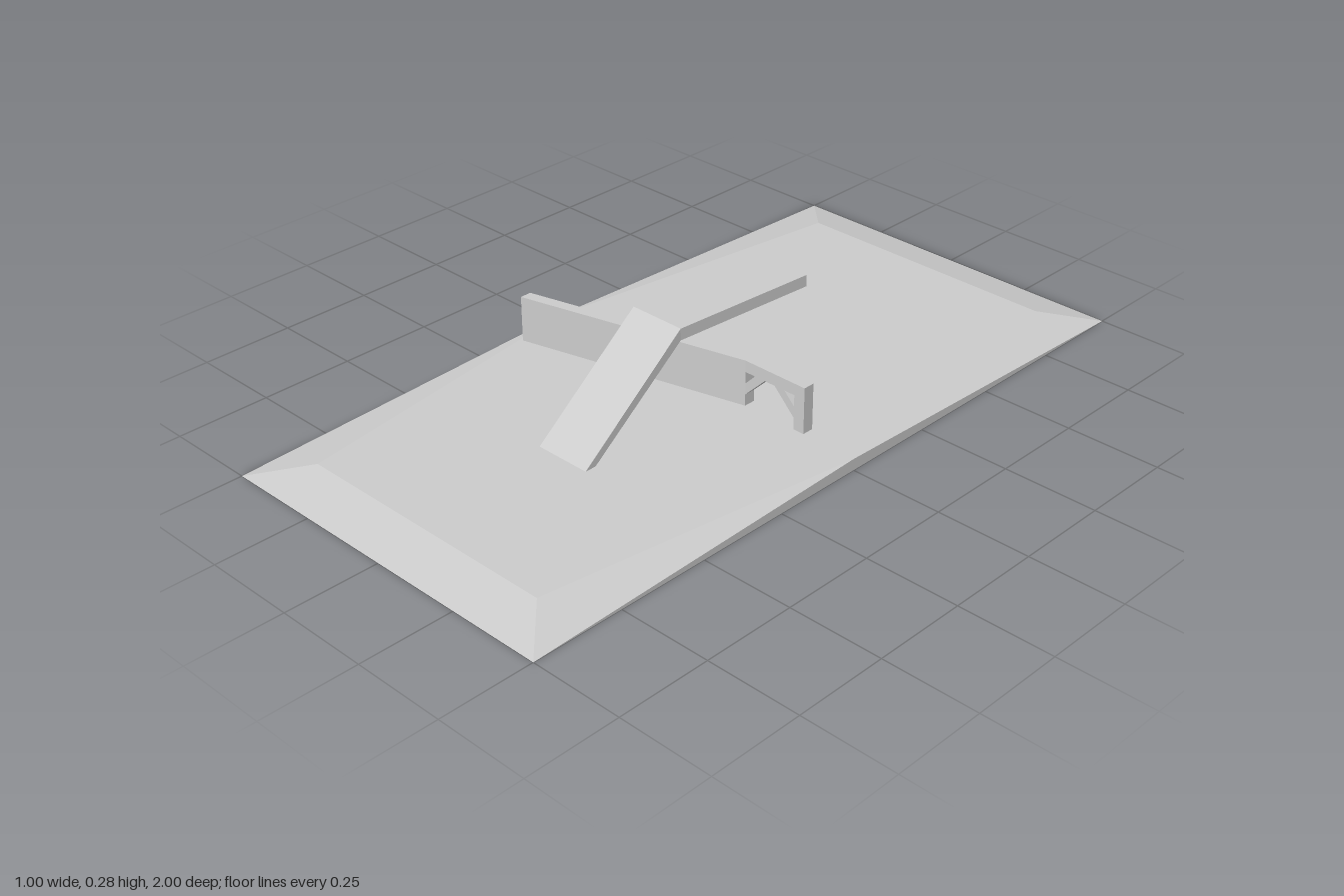
import * as THREE from 'three';

const U = 1 / 32; // design grid
const material = new THREE.MeshStandardMaterial({ color: 0xcccccc, flatShading: true });

const vectors = (points) => points.map(([x, y]) => new THREE.Vector2(x * U, y * U));

function extrude(outline, depth, holes = []) {
  const shape = new THREE.Shape(vectors(outline));
  for (const hole of holes) shape.holes.push(new THREE.Path(vectors(hole)));
  return new THREE.ExtrudeGeometry(shape, { depth: depth * U, bevelEnabled: false });
}

// Move every vertex by a rule
function deform(geometry, rule) {
  const p = geometry.attributes.position;
  const v = new THREE.Vector3();
  for (let i = 0; i < p.count; i++) {
    rule(v.fromBufferAttribute(p, i));
    p.setXYZ(i, v.x, v.y, v.z);
  }
  geometry.computeVertexNormals();
  return geometry;
}

// Ground slab: bevelled ends, sides that flare to full width at mid-length
function groundGeometry() {
  const bottom = [[-16, 32], [16, 32], [16, -32], [-16, -32]];
  const top = [[-12, 28], [12, 28], [16, 0], [12, -28], [-12, -28], [-16, 0]];
  const position = [
    ...bottom.flatMap(([x, z]) => [x * U, 0, z * U]),
    ...top.flatMap(([x, z]) => [x * U, U, z * U]),
  ];
  const index = [
    0, 2, 1, 0, 3, 2, // underside
    4, 5, 6, 4, 6, 9, 9, 6, 7, 9, 7, 8, // top
    0, 1, 5, 0, 5, 4, // front bevel
    2, 3, 8, 2, 8, 7, // back bevel
    1, 6, 5, 1, 2, 6, 2, 7, 6, // left side
    0, 4, 9, 0, 9, 3, 3, 9, 8, // right side
  ];
  const geometry = new THREE.BufferGeometry();
  geometry.setAttribute('position', new THREE.Float32BufferAttribute(position, 3));
  geometry.setIndex(index);
  const flat = geometry.toNonIndexed();
  flat.computeVertexNormals();
  return flat;
}

export function createModel() {
  const group = new THREE.Group();
  const add = (name, geometry) => {
    const mesh = new THREE.Mesh(geometry, material);
    mesh.name = name;
    group.add(mesh);
  };

  add('ground', groundGeometry());

  // Ramp and raised deck: side profile swept across, deck skewed sideways
  const ramp = extrude([[-15, 1], [-14, 1], [-5, 8], [8, 8], [8, 9], [-5, 9]], 5);
  ramp.rotateY(Math.PI / 2).translate(-2 * U, 0, 0);
  add('rampAndDeck', deform(ramp, (v) => {
    v.x += Math.max(0, 5 * U - v.z) / 13;
  }));

  // Long wall, skewed forward towards its far end
  const wall = extrude([[-15, 1], [5, 1], [5, 5], [-15, 5]], 1).translate(0, 0, -U);
  add('wall', deform(wall, (v) => {
    v.z += (5 * U - v.x) / 4;
  }));

  // Braced archway: lintel, post and two diagonal braces
  const arch = extrude(
    [[5, 5], [5, 2], [7, 4], [8, 4], [10, 2], [10, 1], [11, 1], [11, 5]],
    1,
    [
      [[5.02, 3], [6, 4], [5.02, 4]],
      [[9, 4], [10, 3], [10, 4]],
    ],
  ).translate(0, 0, -U);
  add('bracedArch', arch);

  return group;
}
